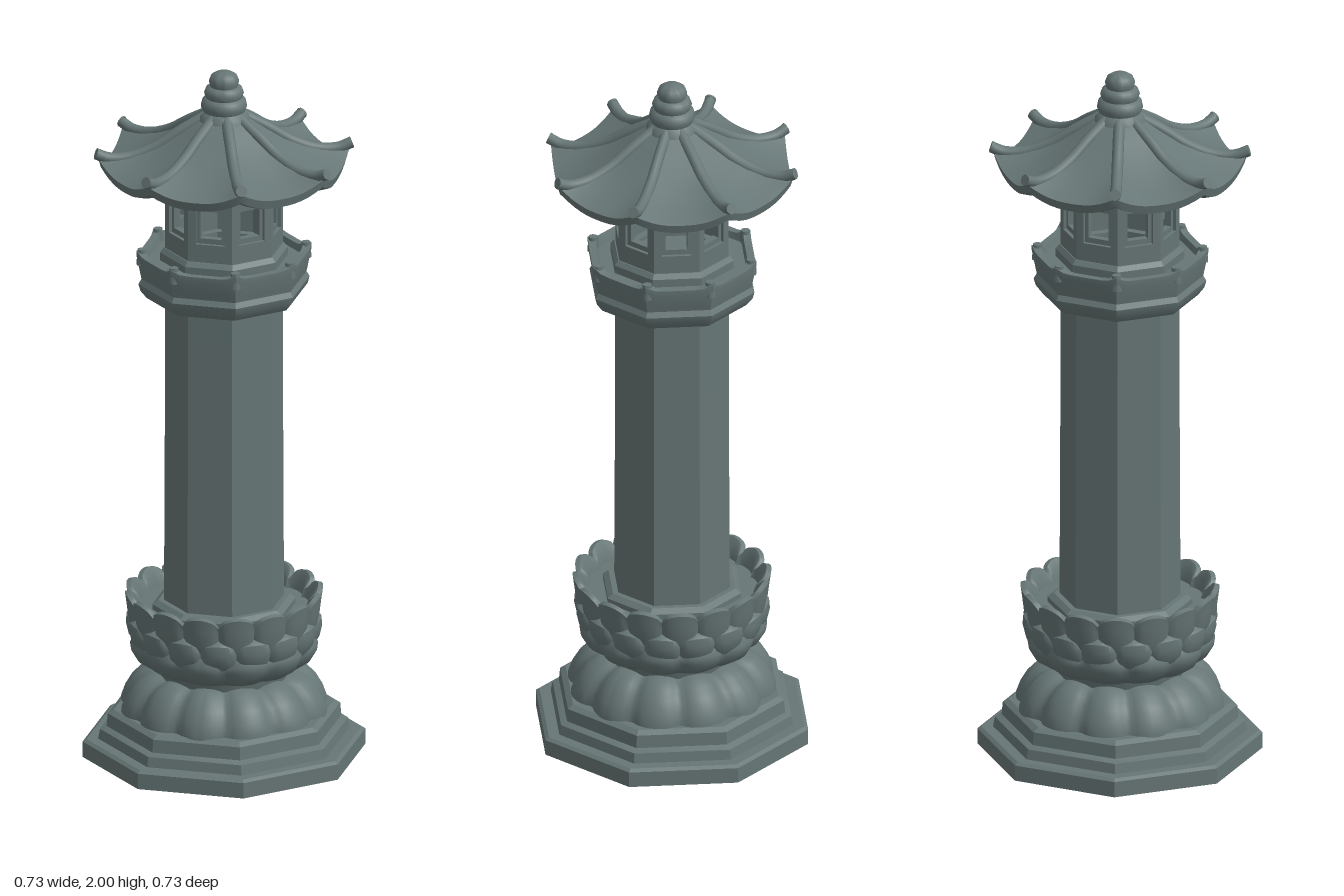
import * as THREE from 'three';
import { mergeVertices, toCreasedNormals } from 'three/addons/utils/BufferGeometryUtils.js';

const STEP = Math.PI / 4;
// 1 at the middle of an octagon side, 1.082 at its corners
const octagon = (a) => 1 / Math.cos(a - Math.round(a / STEP) * STEP);
// 0 at the middle of a side, 1 at a corner
const cornerness = (a) => Math.abs(a - Math.round(a / STEP) * STEP) / (STEP / 2);

export function createModel() {
  const model = new THREE.Group();
  const stone = new THREE.MeshStandardMaterial({ color: 0x677676 });
  stone.name = 'grey stone';

  function add(name, geometry, parent = model) {
    const mesh = new THREE.Mesh(geometry, stone);
    mesh.name = name;
    parent.add(mesh);
    return mesh;
  }

  // Turned profile (bottom to top, radius and height) whose points are moved by a rule
  function turned(profile, segments, rule, crease = 0.6) {
    const points = profile.map(([r, y]) => new THREE.Vector2(r, y));
    let geo = new THREE.LatheGeometry(points, segments, Math.PI / 8);
    const pos = geo.attributes.position;
    for (let i = 0; i < pos.count; i++) {
      const x = pos.getX(i), z = pos.getZ(i);
      const a = Math.atan2(x, z);
      const [r, y] = rule(Math.hypot(x, z), pos.getY(i), a);
      pos.setXYZ(i, r * Math.sin(a), y, r * Math.cos(a));
    }
    geo.deleteAttribute('normal');
    geo.deleteAttribute('uv');
    geo = mergeVertices(geo, 1e-5);
    return toCreasedNormals(geo, crease);
  }
  const eightSided = (profile) => turned(profile, 8, (r, y, a) => [r * octagon(a), y], 0.35);

  // Stepped plinth
  add('plinth', eightSided([
    [0, 0], [0.365, 0], [0.365, 0.045], [0.355, 0.052], [0.325, 0.052], [0.32, 0.08],
    [0.303, 0.088], [0.3, 0.125], [0.285, 0.135], [0, 0.135],
  ]));

  // Lotus petals: rounded lobes with sharp valleys between them
  const lobe = (a, count, shift) => Math.sqrt(Math.abs(Math.cos((a * count) / 2 + shift)));
  function petals(name, profile, count, shift, depth, scallop, y0, y1) {
    add(name, turned(profile, count * 10, (r, y, a) => {
      const l = lobe(a, count, shift);
      const t = Math.min(1, Math.max(0, (y - y0) / (y1 - y0)));
      return [r * (1 - depth * (1 - l)), y - scallop * (1 - l) * t * t];
    }, 0.8));
  }
  petals('lowerLotus', [
    [0.292, 0.125], [0.291, 0.145], [0.28, 0.175], [0.262, 0.205], [0.238, 0.23],
    [0.205, 0.246], [0.175, 0.248], [0, 0.248],
  ], 12, 0, 0.11, 0.015, 0.13, 0.24);
  add('lotusNeck', new THREE.CylinderGeometry(0.195, 0.185, 0.04, 32)).position.y = 0.255;
  petals('bowlLowerPetals', [
    [0, 0.255], [0.17, 0.255], [0.215, 0.265], [0.245, 0.285], [0.263, 0.315], [0.266, 0.335],
    [0.255, 0.358], [0.2, 0.362],
  ], 12, 0, 0.09, 0.015, 0.3, 0.36);
  petals('bowlMiddlePetals', [
    [0.2, 0.315], [0.25, 0.322], [0.265, 0.345], [0.272, 0.375], [0.27, 0.4],
    [0.255, 0.412], [0.2, 0.415],
  ], 16, Math.PI / 2, 0.06, 0.02, 0.34, 0.41);
  petals('bowlRimPetals', [
    [0.22, 0.365], [0.255, 0.37], [0.266, 0.4], [0.271, 0.44], [0.276, 0.478],
    [0.262, 0.482], [0.246, 0.46], [0.238, 0.425], [0, 0.425],
  ], 16, 0, 0.05, 0.03, 0.42, 0.48);

  // Octagonal shaft with a low foot
  add('shaftFoot', eightSided([[0.185, 0.41], [0.185, 0.44], [0.17, 0.452], [0.14, 0.452]]));
  add('shaft', eightSided([[0.155, 0.42], [0.153, 0.9], [0.152, 1.35]]));

  // Balcony under the lamp house
  add('balcony', turned([
    [0, 1.335], [0.18, 1.335], [0.2, 1.343], [0.216, 1.365], [0.221, 1.385], [0.213, 1.4],
    [0.216, 1.415], [0.226, 1.455], [0.226, 1.47], [0.205, 1.47], [0.2, 1.452], [0, 1.452],
  ], 64, (r, y, a) => {
    const lift = 0.014 * cornerness(a) ** 6 * (y > 1.45 && r > 0.203 ? 1 : 0);
    return [r * octagon(a), y + lift];
  }, 0.5));
  const posts = new THREE.Group();
  posts.name = 'balconyCorners';
  model.add(posts);
  for (let i = 0; i < 8; i++) {
    const a = (i + 0.5) * STEP;
    const post = add('cornerPost', new THREE.CylinderGeometry(0.013, 0.016, 0.045, 8), posts);
    post.position.set(0.229 * Math.sin(a), 1.465, 0.229 * Math.cos(a));
  }
  add('lampHouseSill', eightSided([[0.165, 1.44], [0.165, 1.475], [0.155, 1.488], [0.1, 1.488]]));

  // Hollow lamp house: eight walls, each with a stepped window opening
  function panel(apothem, depth, halfOpening, bottom, top) {
    const half = apothem * Math.tan(STEP / 2);
    const shape = new THREE.Shape();
    shape.moveTo(-half, 1.46).lineTo(half, 1.46).lineTo(half, 1.715).lineTo(-half, 1.715).closePath();
    const hole = new THREE.Path();
    hole.moveTo(-halfOpening, bottom).lineTo(-halfOpening, top);
    hole.lineTo(halfOpening, top).lineTo(halfOpening, bottom).closePath();
    shape.holes.push(hole);
    const geo = new THREE.ExtrudeGeometry(shape, { depth, bevelEnabled: false });
    return geo.translate(0, 0, apothem - depth);
  }
  const lampHouse = new THREE.Group();
  lampHouse.name = 'lampHouse';
  model.add(lampHouse);
  for (let i = 0; i < 8; i++) {
    const wall = new THREE.Group();
    wall.name = 'windowWall';
    wall.rotation.y = i * STEP;
    lampHouse.add(wall);
    add('outerFrame', panel(0.152, 0.01, 0.041, 1.54, 1.65), wall);
    add('innerFrame', panel(0.142, 0.02, 0.03, 1.555, 1.635), wall);
  }

  // Roof: concave slopes, corners lifted towards the eaves
  const lift = (r, a) => 0.035 * Math.max(0, (r - 0.16) / 0.16) * cornerness(a) ** 2.5;
  add('roof', turned([
    [0, 1.7], [0.15, 1.7], [0.18, 1.69], [0.24, 1.688], [0.295, 1.693], [0.318, 1.7],
    [0.325, 1.725], [0.3, 1.733], [0.26, 1.745], [0.21, 1.768], [0.16, 1.798],
    [0.11, 1.833], [0.075, 1.86], [0.05, 1.875], [0, 1.875],
  ], 96, (r, y, a) => [r * octagon(a), y + lift(r, a)], 0.6));

  // Rounded ridges running down to the upturned corners
  const ridgeLine = [[0.05, 1.872], [0.12, 1.832], [0.19, 1.788], [0.26, 1.762], [0.32, 1.76], [0.357, 1.774]];
  const ridgePath = new THREE.CatmullRomCurve3(ridgeLine.map(([r, y]) => new THREE.Vector3(0, y, r)));
  const ridges = new THREE.Group();
  ridges.name = 'roofRidges';
  model.add(ridges);
  for (let i = 0; i < 8; i++) {
    const ridge = new THREE.Group();
    ridge.name = 'ridge';
    ridge.rotation.y = (i + 0.5) * STEP;
    ridges.add(ridge);
    add('ridgeRoll', new THREE.TubeGeometry(ridgePath, 24, 0.016, 10), ridge);
    const cap = add('ridgeEnd', new THREE.CylinderGeometry(0.016, 0.016, 0.006, 10), ridge);
    cap.position.set(0, 1.774, 0.355);
    cap.rotation.x = Math.PI / 2 - 0.35;
  }

  // Ringed finial with a rounded tip
  add('finial', turned([
    [0.075, 1.85], [0.069, 1.875], [0.058, 1.885], [0.064, 1.9], [0.06, 1.918], [0.05, 1.924],
    [0.055, 1.938], [0.05, 1.952], [0.038, 1.957], [0.042, 1.972], [0.036, 1.988],
    [0.022, 1.997], [0, 2],
  ], 32, (r, y) => [r, y], 0.9));

  return model;
}
